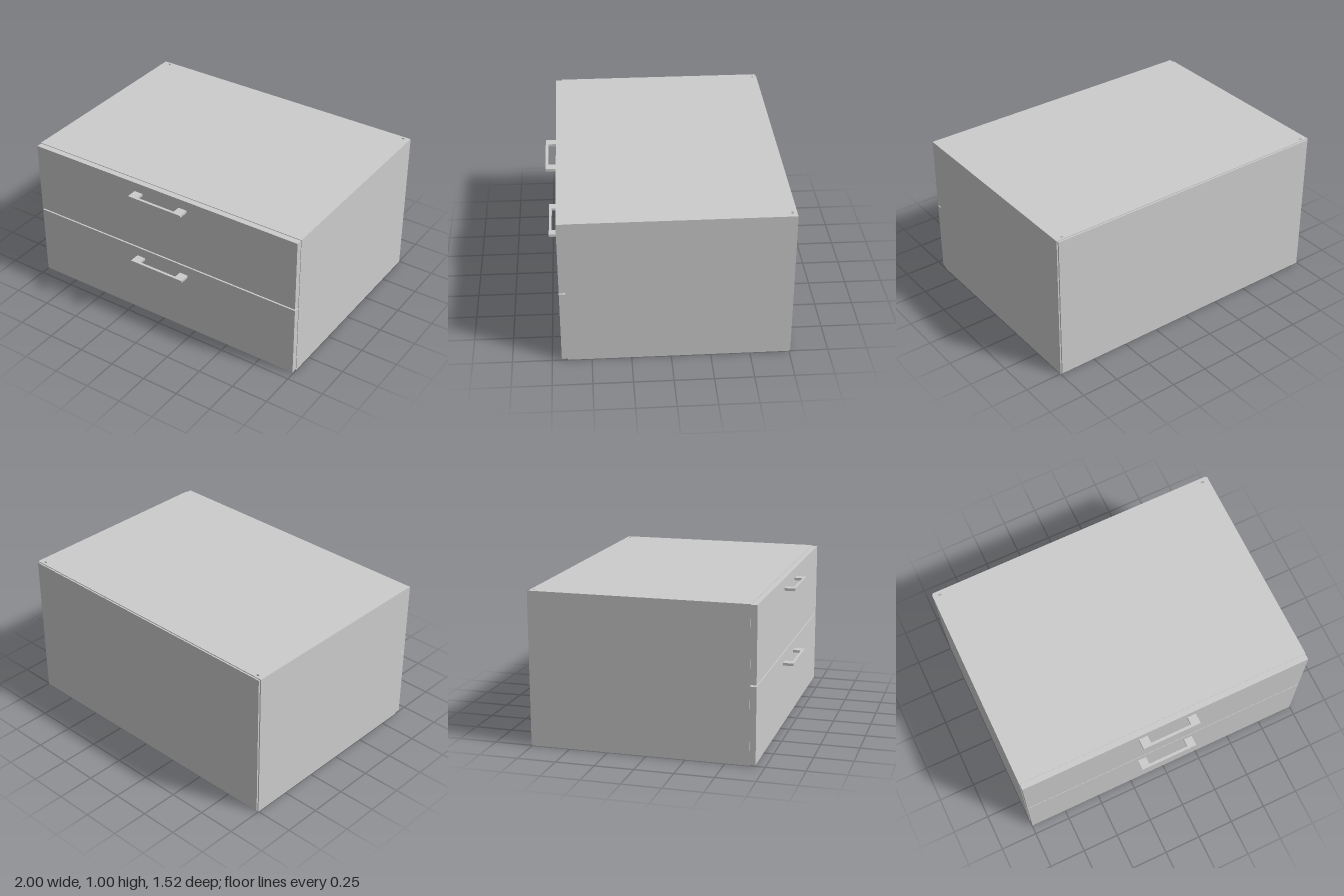
import * as THREE from 'three';

const material = new THREE.MeshStandardMaterial({ color: 0xcccccc });

// Box given by its min and max corners
function box(name, [x0, y0, z0], [x1, y1, z1]) {
  const mesh = new THREE.Mesh(new THREE.BoxGeometry(x1 - x0, y1 - y0, z1 - z0), material);
  mesh.name = name;
  mesh.position.set((x0 + x1) / 2, (y0 + y1) / 2, (z0 + z1) / 2);
  return mesh;
}

function rectangle(path, x0, y0, x1, y1) {
  path.moveTo(x0, y0).lineTo(x1, y0).lineTo(x1, y1).lineTo(x0, y1).closePath();
  return path;
}

const T = 0.035; // carcass board thickness
const FRONT = 0.65, BACK = -0.75;

// Horizontal board with a small slot in each rear corner
function slottedBoard(name, y) {
  const shape = rectangle(new THREE.Shape(), -1 + T, -FRONT, 1 - T, -BACK);
  // the slots sit where the board meets the side panels
  for (const s of [-1, 1]) {
    const cx = s * 0.953;
    shape.holes.push(rectangle(new THREE.Path(), cx - 0.01, 0.722, cx + 0.01, 0.735));
  }
  const geometry = new THREE.ExtrudeGeometry(shape, { depth: T, bevelEnabled: false });
  geometry.rotateX(-Math.PI / 2);
  const mesh = new THREE.Mesh(geometry, material);
  mesh.name = name;
  mesh.position.y = y;
  return mesh;
}

// Flat pull: two lugs joined by a thin front bar
function createHandle(y) {
  const handle = new THREE.Group();
  handle.name = 'handle';
  const y1 = y + 0.017;
  handle.add(
    box('rightLug', [-0.2, y, 0.69], [-0.14, y1, 0.76]),
    box('leftLug', [0.14, y, 0.69], [0.2, y1, 0.76]),
    box('gripBar', [-0.14, y, 0.742], [0.14, y1, 0.76]),
  );
  return handle;
}

// Drawer: front panel, open tray behind it and a handle
function createDrawer(name, bottom, top) {
  const drawer = new THREE.Group();
  drawer.name = name;
  const y0 = bottom + 0.06, y1 = top - 0.08, w = 0.92, back = -0.68, t = 0.025;
  drawer.add(
    box('drawerFront', [-0.997, bottom, FRONT], [0.997, top, 0.69]),
    box('trayBase', [-w, y0, back], [w, y0 + t, FRONT]),
    box('trayBack', [-w, y0 + t, back], [w, y1, back + t]),
    box('trayRight', [-w, y0 + t, back + t], [-w + t, y1, FRONT]),
    box('trayLeft', [w - t, y0 + t, back + t], [w, y1, FRONT]),
    createHandle(top - 0.081),
  );
  return drawer;
}

export function createModel() {
  const model = new THREE.Group();
  model.name = 'drawerUnit';

  // Carcass
  const carcass = new THREE.Group();
  carcass.name = 'carcass';
  carcass.add(
    box('rightSide', [-1, 0, BACK], [-1 + T, 1, FRONT]),
    box('leftSide', [1 - T, 0, BACK], [1, 1, FRONT]),
    slottedBoard('topBoard', 1 - T),
    slottedBoard('bottomBoard', 0),
    box('backPanel', [-0.992, 0.006, -0.76], [0.992, 0.994, BACK]),
  );
  model.add(carcass);

  // Two equal drawers with a narrow shadow gap between them
  model.add(createDrawer('lowerDrawer', 0.007, 0.497));
  model.add(createDrawer('upperDrawer', 0.507, 0.996));
  return model;
}
